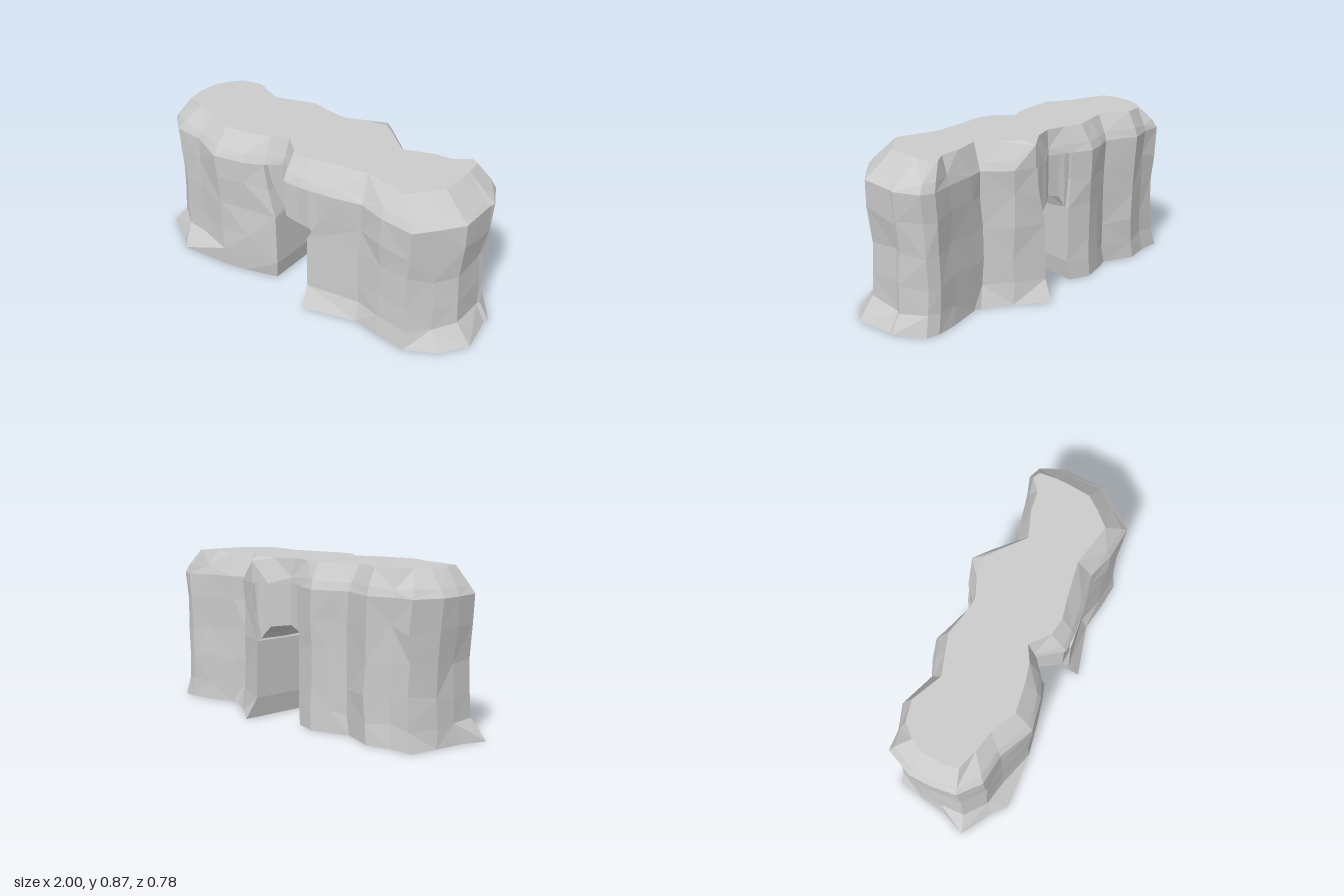
import * as THREE from 'three';

const rock = new THREE.MeshStandardMaterial({ color: 0xcccccc, flatShading: true, side: THREE.DoubleSide });

// Plan outline, each row: top x,z, shoulder x,z, ground x,z
const leftPlan = [ // front inner corner, round the +x end, to back inner corner
  [.20, .23, .27, .31, .13, .39], [.40, .19, .42, .27, .42, .30], [.52, .21, .57, .31, .58, .32],
  [.64, .23, .75, .32, .74, .33], [.72, .14, .84, .21, .90, .24], [.77, .07, .92, .10, 1.0, .10],
  [.78, -.06, .92, -.11, .96, -.11], [.78, -.13, .93, -.14, .97, -.14], [.77, -.22, .86, -.27, .86, -.28],
  [.73, -.24, .79, -.29, .79, -.29], [.66, -.18, .68, -.25, .67, -.26], [.55, -.16, .50, -.20, .50, -.20],
  [.40, -.10, .42, -.17, .45, -.20], [.30, -.18, .29, -.28, .30, -.28], [.20, -.25, .17, -.31, .13, -.39],
];
const rightPlan = [ // back inner corner, round the -x end, to front inner corner
  [-.14, -.19, -.15, -.24, -.15, -.25], [-.25, -.21, -.27, -.28, -.27, -.28], [-.36, -.17, -.38, -.24, -.38, -.24],
  [-.47, -.13, -.46, -.20, -.47, -.20], [-.64, -.20, -.65, -.26, -.65, -.26], [-.75, -.17, -.78, -.21, -.78, -.22],
  [-.81, -.10, -.89, -.20, -.91, -.21], [-.84, -.03, -.95, -.05, -.93, -.06], [-.85, .08, -.95, .06, -.95, .10],
  [-.83, .17, -.93, .20, -1.0, .23], [-.72, .20, -.82, .29, -.82, .33], [-.60, .22, -.66, .30, -.75, .39],
  [-.46, .28, -.47, .38, -.47, .36], [-.30, .25, -.30, .34, -.33, .33], [-.20, .22, -.20, .29, -.15, .27],
];
const spanBack = [[.08, -.23, .07, -.28], [-.03, -.18, -.02, -.20]];
const spanFront = [[-.12, .17, -.12, .22], [-.02, .25, -.02, .34], [.08, .26, .08, .34]];

const mix = THREE.MathUtils.lerp;
const wobble = (i, j) => (Math.abs(Math.sin(i * 12.99 + j * 78.23) * 437.58) % 1 - .5);

// Skin a stack of closed rings and cap both ends
function loft(rings, name) {
  const n = rings[0].length, index = [];
  for (let r = 0; r < rings.length - 1; r++) {
    for (let i = 0; i < n; i++) {
      const a = r * n + i, b = r * n + (i + 1) % n, c = b + n, d = a + n;
      if ((i + r) % 2) index.push(a, b, c, a, c, d);
      else index.push(a, b, d, b, c, d);
    }
  }
  const cap = (r, up) => {
    const flat = rings[r].map(p => new THREE.Vector2(p[0], -p[2]));
    for (const [a, b, c] of THREE.ShapeUtils.triangulateShape(flat, []))
      index.push(r * n + a, r * n + (up ? b : c), r * n + (up ? c : b));
  };
  cap(0, false);
  cap(rings.length - 1, true);
  const geo = new THREE.BufferGeometry();
  geo.setAttribute('position', new THREE.Float32BufferAttribute(rings.flat(2), 3));
  geo.setIndex(index);
  const flatGeo = geo.toNonIndexed();
  flatGeo.computeVertexNormals();
  const mesh = new THREE.Mesh(flatGeo, rock);
  mesh.name = name;
  return mesh;
}

// Pillar: flared foot, slightly waisted middle, full shoulder
function pillar(plan, name) {
  const levels = [ // height, share of ground outline, waist scale, roughness
    [0, 1, 1, 0], [.11, .22, .975, .4], [.25, .18, .97, .7], [.42, .14, .97, .7], [.58, .08, .985, .7], [.73, 0, 1, 0],
  ];
  const rings = levels.map(([y, t, waist, rough], j) => plan.map(([, , sx, sz, bx, bz], i) => {
    // The two inner corners frame the passage and stay upright up to the arch
    const inner = i === 0 || i === plan.length - 1;
    const rise = inner ? Math.min(1, (.73 - y) / .3) : t;
    const squeeze = inner ? (y > 0 && y < .5 ? .88 : 1) : waist;
    const e = inner ? 0 : rough;
    return [
      mix(sx, bx, rise) * squeeze + wobble(i, j) * .02 * e,
      y + wobble(i + 7, j) * .07 * e,
      mix(sz, bz, t) * (inner ? 1 : waist) + wobble(i, j + 9) * .02 * e,
    ];
  }));
  return loft(rings, name);
}

export function createModel() {
  const group = new THREE.Group();
  group.name = 'rockArch';
  group.add(pillar(leftPlan, 'leftPillar'), pillar(rightPlan, 'rightPillar'));

  // Flat top with bevelled rim, running over both pillars; one rim point juts up as a horn
  const rim = [...leftPlan, ...spanBack, ...rightPlan, ...spanFront];
  group.add(loft([
    rim.map(p => [p[2], .73, p[3]]),
    rim.map((p, i) => {
      const horn = p[3] < -.3;
      const t = horn ? .05 : .25;
      return [mix(p[2], p[0], t), horn ? .845 : .77 + wobble(i, 3) * .02, mix(p[3], p[1], t)];
    }),
    rim.map(p => [p[0], .865, p[1]]),
  ], 'topSlab'));

  // Lintel stations across the passage: x, underside y, back z, front z
  const stations = [
    [-.22, .42, -.22, .27], [-.18, .42, -.22, .25], [-.12, .43, -.22, .19], [-.09, .49, -.21, .22], [-.02, .51, -.20, .33],
    [.06, .50, -.27, .33], [.10, .46, -.28, .29], [.14, .40, -.295, .27], [.20, .42, -.29, .27], [.26, .50, -.25, .27],
  ];
  const geo = new THREE.BoxGeometry(1, 1, 1, stations.length - 1, 2, 4);
  const pos = geo.attributes.position;
  for (let i = 0; i < pos.count; i++) {
    const k = Math.round((pos.getX(i) + .5) * (stations.length - 1));
    const [x, low, back, front] = stations[k];
    const up = pos.getY(i) + .5, depth = pos.getZ(i) + .5;
    // Uneven ceiling inside the passage
    const sag = depth > .1 && depth < .9 ? .03 * wobble(k, depth * 4) : 0;
    pos.setXYZ(i, x, mix(low + sag, .74, up), mix(back, front, depth));
  }
  geo.computeVertexNormals();
  const lintel = new THREE.Mesh(geo, rock);
  lintel.name = 'lintel';
  group.add(lintel);
  return group;
}
